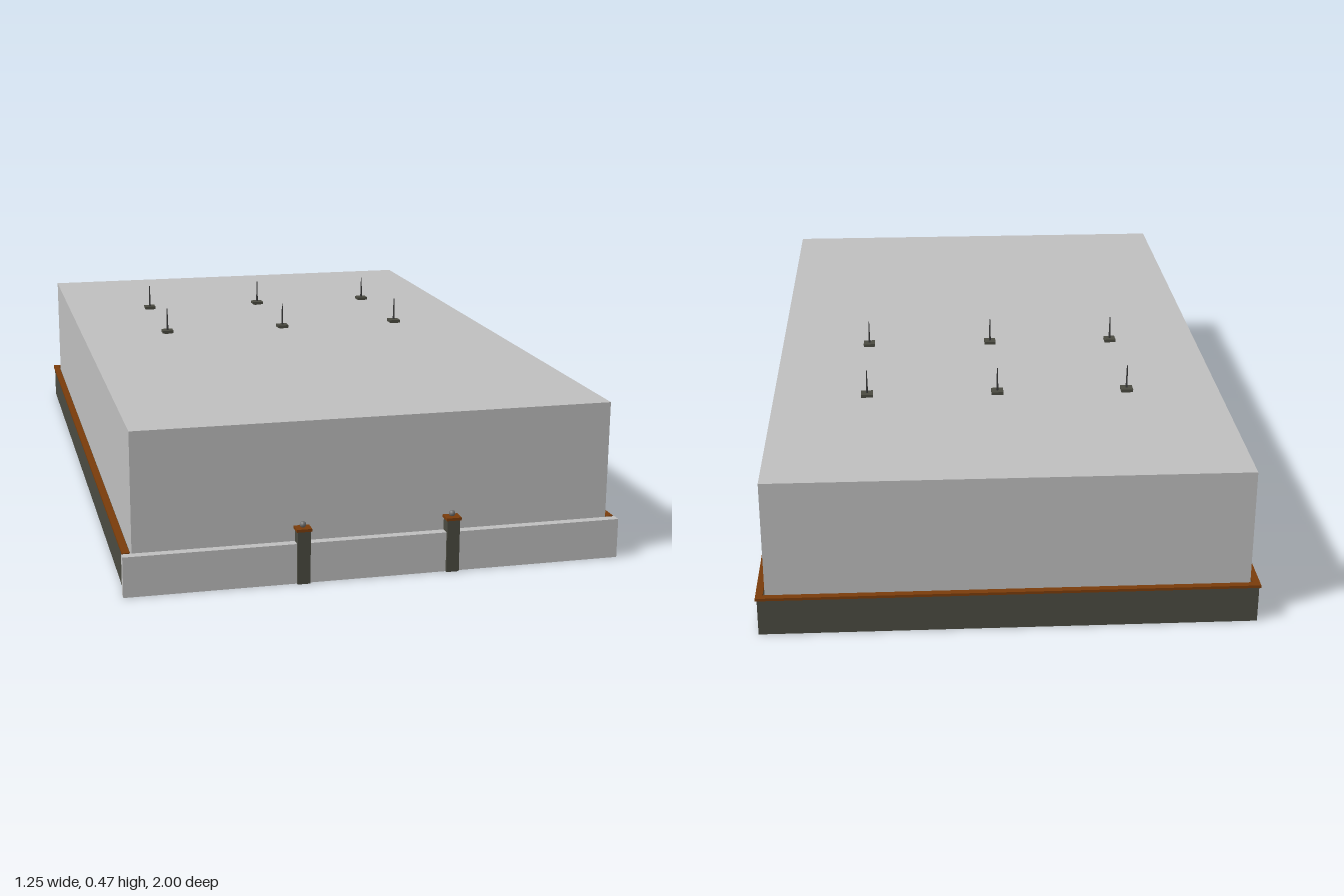
import * as THREE from 'three';

const material = (name, color) => {
  const m = new THREE.MeshStandardMaterial({ color });
  m.name = name;
  return m;
};

export function createModel() {
  const model = new THREE.Group();
  model.name = 'walledBlock';

  const paleGrey = material('pale grey', 0xbfbfbf);
  const darkStone = material('dark stone', 0x4b4b41);
  const copper = material('brown trim', 0x7a3c0a);
  const iron = material('iron', 0x3c3c3c);
  const ballGrey = material('ball grey', 0x707070);

  const add = (parent, name, geometry, mat, x, y, z) => {
    const mesh = new THREE.Mesh(geometry, mat);
    mesh.name = name;
    mesh.position.set(x, y, z);
    parent.add(mesh);
    return mesh;
  };

  // Box given by its lower and upper limits
  const box = (parent, name, mat, [x0, x1], [y0, y1], [z0, z1]) =>
    add(parent, name, new THREE.BoxGeometry(x1 - x0, y1 - y0, z1 - z0), mat,
      (x0 + x1) / 2, (y0 + y1) / 2, (z0 + z1) / 2);

  // Main volume
  box(model, 'mainBlock', paleGrey, [-0.6, 0.6], [0.002, 0.4], [-0.975, 0.966]);

  // Low side walls with brown coping
  for (const side of [-1, 1]) {
    const span = (a, b) => [side * a, side * b].sort((p, q) => p - q);
    box(model, 'sideWall', darkStone, span(0.601, 0.618), [0, 0.095], [-0.997, 0.964]);
    box(model, 'sideCoping', copper, span(0.604, 0.622), [0.095, 0.102], [-1, 0.964]);
  }

  // Low back wall with coping
  box(model, 'backWall', darkStone, [-0.601, 0.601], [0, 0.095], [-0.997, -0.976]);
  box(model, 'backCoping', copper, [-0.604, 0.604], [0.095, 0.102], [-1, -0.983]);

  // Plain front panel
  box(model, 'frontPanel', paleGrey, [-0.625, 0.625], [0, 0.101], [0.967, 0.99]);

  // Gate posts with a cap and ball
  for (const x of [-0.188, 0.188]) {
    const post = new THREE.Group();
    post.name = 'gatePost';
    post.position.set(x, 0, 0.982);
    box(post, 'postShaft', darkStone, [-0.016, 0.016], [0, 0.133], [-0.015, 0.015]);
    box(post, 'postCap', copper, [-0.019, 0.019], [0.133, 0.14], [-0.018, 0.018]);
    add(post, 'postBall', new THREE.SphereGeometry(0.008, 12, 8), ballGrey, 0, 0.147, 0);
    model.add(post);
  }

  // Roof masts on square plates
  for (const z of [-0.08, -0.455]) {
    for (const x of [-0.35, 0, 0.35]) {
      const mast = new THREE.Group();
      mast.name = 'roofMast';
      mast.position.set(x, 0.4, z);
      box(mast, 'mastPlate', darkStone, [-0.016, 0.016], [0.002, 0.01], [-0.016, 0.016]);
      box(mast, 'mastFoot', darkStone, [-0.011, 0.011], [0, 0.002], [-0.011, 0.011]);
      add(mast, 'mastPole', new THREE.CylinderGeometry(0.0012, 0.003, 0.064, 8), iron, 0, 0.042, 0);
      model.add(mast);
    }
  }

  return model;
}
